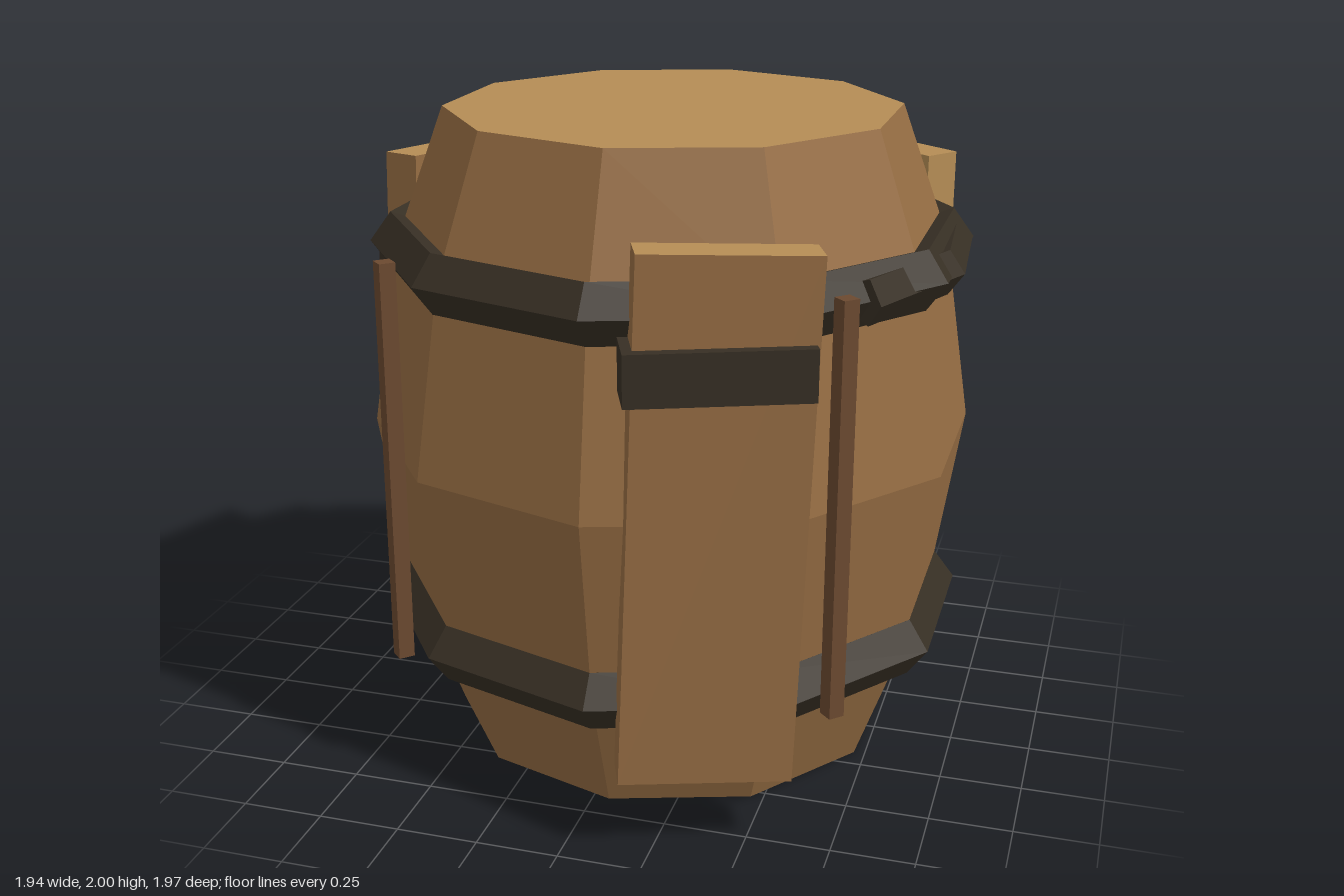
import * as THREE from 'three';

const mat = (name, color) => {
  const m = new THREE.MeshStandardMaterial({ color });
  m.name = name;
  m.flatShading = true;
  return m;
};

export function createModel() {
  const wood = mat('brown wood', 0x966d43);
  const tan = mat('tan cut wood', 0xb58d55);
  const dark = mat('dark wood', 0x6b4930);
  const iron = mat('black iron', 0x372f24);

  const group = new THREE.Group();
  group.name = 'barrel';
  const CX = 0.05, CZ = -0.037, SIDES = 10;

  const add = (name, geometry, material, x, y, z) => {
    const mesh = new THREE.Mesh(geometry, material);
    mesh.name = name;
    mesh.position.set(x, y, z);
    group.add(mesh);
    return mesh;
  };

  // Bulging ten-sided body with separate lid and base
  const profile = [[0.70, 0], [0.855, 0.42], [0.946, 1], [0.855, 1.58], [0.70, 2]]
    .map(([r, y]) => new THREE.Vector2(r, y));
  add('body', new THREE.LatheGeometry(profile, SIDES), wood, CX, 0, CZ);
  const disc = (tilt) => new THREE.CircleGeometry(0.70, SIDES, Math.PI / 2).rotateX(tilt);
  add('lid', disc(-Math.PI / 2), tan, CX, 2, CZ);
  add('base', disc(Math.PI / 2), wood, CX, 0, CZ);

  // Five-sided ring section, swept around the barrel
  const ring = (radius, tube, segments, start = 0, length = Math.PI * 2) => {
    const pts = [];
    for (let i = 0; i <= 5; i++) {
      const a = (i / 5) * Math.PI * 2;
      pts.push(new THREE.Vector2(radius + tube * Math.cos(a), tube * Math.sin(a)));
    }
    return new THREE.LatheGeometry(pts, segments, start, length);
  };
  add('lowerHoop', ring(0.841, 0.095, SIDES), iron, CX, 0.425, CZ);
  add('upperHoop', ring(0.841, 0.095, SIDES), iron, CX, 1.585, CZ);

  // Short overlapping strip on the upper hoop, closed at both ends
  const from = THREE.MathUtils.degToRad(53), sweep = THREE.MathUtils.degToRad(55);
  add('hoopPatch', ring(0.863, 0.07, 2, from, sweep), iron, CX, 1.58, CZ);
  [from, from + sweep].forEach((phi, i) => {
    const cap = new THREE.CircleGeometry(0.07, 5).rotateX(i * Math.PI).rotateY(phi - Math.PI / 2);
    add('hoopPatchEnd', cap, iron, CX + 0.863 * Math.sin(phi), 1.58, CZ + 0.863 * Math.cos(phi));
  });

  // Leaning planks, each with an iron band
  const planks = [
    { name: 'front', at: [0.405, 0.795], band: [0.41, 0.81], turn: 0.385, lean: -0.035, side: wood },
    { name: 'right', at: [-0.807, -0.29], band: [-0.82, -0.315], turn: -1.876, lean: 0.035, side: wood },
    { name: 'back', at: [0.595, -0.76], band: [0.6, -0.767], turn: 2.5, lean: 0, side: tan },
  ];
  for (const p of planks) {
    const faces = [p.side, p.side, tan, p.side, p.side, p.side];
    add(p.name + 'Plank', new THREE.BoxGeometry(0.5, 1.55, 0.125), faces, p.at[0], 1.005, p.at[1])
      .rotation.set(0, p.turn, p.lean);
    add(p.name + 'PlankBand', new THREE.BoxGeometry(0.52, 0.15, 0.16), iron, p.band[0], 1.455, p.band[1])
      .rotation.y = p.turn;
  }

  // Four slim upright rods
  for (const sx of [-1, 1]) {
    for (const sz of [-1, 1]) {
      add('rod', new THREE.CylinderGeometry(0.035, 0.035, 1.25, 4), dark,
        CX + sx * 0.67, 1.005, CZ + sz * 0.67);
    }
  }
  return group;
}
